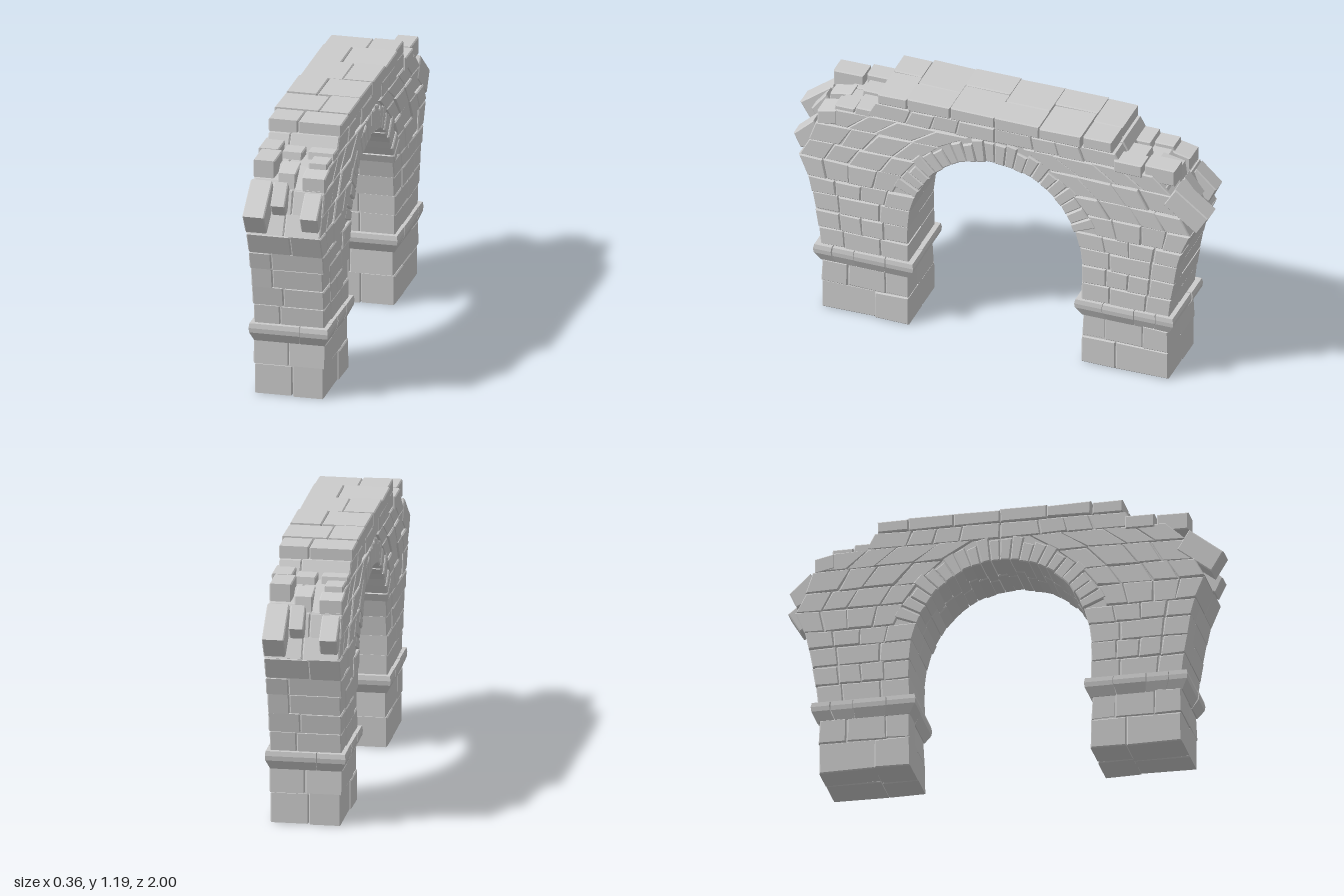
import * as THREE from 'three';

const material = new THREE.MeshStandardMaterial({ color: 0xcccccc, flatShading: true, side: THREE.DoubleSide });

// Repeatable random numbers for the uneven masonry
let seed = 11;
const rand = () => (seed = (seed * 16807) % 2147483647) / 2147483647;
const jitter = (a) => (rand() * 2 - 1) * a;
const lerp = THREE.MathUtils.lerp;

function add(group, name, geometry) {
  const mesh = new THREE.Mesh(geometry, material);
  mesh.name = name;
  group.add(mesh);
}

// Slab whose outline is given as [z, y] points, running from x0 to x1
function slab(points, x0, x1, bevel) {
  const shape = new THREE.Shape(points.map(([z, y]) => new THREE.Vector2(z, y)));
  const geometry = new THREE.ExtrudeGeometry(shape, {
    depth: x1 - x0 - 2 * bevel, bevelEnabled: bevel > 0, bevelSegments: 1,
    bevelThickness: bevel, bevelSize: bevel, bevelOffset: -bevel,
  });
  geometry.rotateY(-Math.PI / 2);
  return geometry.translate(x1 - bevel, 0, 0);
}

function stone(group, name, points, x0, x1, rough = 0.003) {
  const loose = points.map(([z, y]) => [z + jitter(rough), Math.max(0, y + jitter(rough))]);
  add(group, name, slab(loose, x0, x1, 0.005));
}

// Two stones side by side across the wall, with a wandering joint
function stonePair(group, name, points, half, split = jitter(0.07)) {
  stone(group, name, points, -half + jitter(0.005), split - 0.001);
  stone(group, name, points, split + 0.001, half + jitter(0.005));
}

// Opening: a half ellipse springing at y = 0.5
const SPRING = 0.5, A = 0.405, B = 0.45, RING = 0.11;
const arch = (t, grow = 0) => [(A + grow) * Math.cos(t), SPRING + (B + grow) * Math.sin(t)];
const archZ = (y, grow = 0) => {
  const s = Math.max(0, y - SPRING) / (B + grow);
  return (A + grow) * Math.sqrt(Math.max(0, 1 - s * s));
};

// Outer end of the wall, flaring outward with height
const END = [[0, 0.81], [0.33, 0.815], [0.5, 0.838], [0.6, 0.855], [0.69, 0.878], [0.79, 0.92], [0.87, 0.87], [0.97, 0.84], [1.2, 0.83]];
function endZ(y) {
  const i = Math.max(1, END.findIndex(([h]) => h >= y));
  const [h0, z0] = END[i - 1], [h1, z1] = END[i];
  return lerp(z0, z1, (y - h0) / (h1 - h0));
}

// A level course of n stones between two sloping ends
function course(group, y0, y1, n, half, [in0, in1], [out0, out1]) {
  const cuts = [0];
  for (let i = 1; i < n; i++) cuts.push((i + jitter(0.22)) / n);
  cuts.push(1);
  for (let i = 0; i < n; i++) {
    const a = cuts[i], b = cuts[i + 1];
    stonePair(group, 'courseStone', [
      [lerp(in0, out0, a) + 0.001, y0 + 0.001], [lerp(in0, out0, b) - 0.001, y0 + 0.001],
      [lerp(in1, out1, b) - 0.001, y1 - 0.001], [lerp(in1, out1, a) + 0.001, y1 - 0.001],
    ], half);
  }
}

function createHalf() {
  const half = new THREE.Group();

  // Rubble core, just behind the stone faces
  const core = [[0.415, 0.01], [0.80, 0.01], [0.805, 0.33], [0.828, 0.5], [0.845, 0.6], [0.868, 0.69],
    [0.9, 0.79], [0.86, 0.87], [0.82, 0.97], [0.8, 1.0], [0.56, 1.05], [0.54, 1.12], [0, 1.12]];
  for (let i = 12; i >= 0; i--) core.push(arch((i / 12) * Math.PI / 2, 0.01));
  add(half, 'rubbleCore', slab(core, -0.153, 0.153, 0));

  // Pier foot
  const foot = new THREE.Group();
  foot.name = 'pierFoot';
  course(foot, 0, 0.14, 2, 0.159, [0.405, 0.405], [0.812, 0.812]);
  course(foot, 0.14, 0.255, 3, 0.159, [0.405, 0.408], [0.812, 0.808]);
  half.add(foot);

  // Flared moulding round the pier
  const moulding = new THREE.Group();
  moulding.name = 'moulding';
  const xs = [-0.16, jitter(0.05), 0.16], zs = [-0.205, -0.09, 0.04, 0.13, 0.205];
  const flare = [0.0, 0.45, 0.9, 1, 0.85];
  for (let i = 0; i < 2; i++) for (let j = 0; j < 4; j++) {
    const w = xs[i + 1] - xs[i], d = zs[j + 1] - zs[j], grow = 0.9 + rand() * 0.2;
    const box = new THREE.BoxGeometry(w - 0.003, 0.085, d - 0.003, 1, 4, 1);
    box.translate((xs[i] + xs[i + 1]) / 2, 0, (zs[j] + zs[j + 1]) / 2);
    const p = box.attributes.position;
    for (let k = 0; k < p.count; k++) {
      const f = flare[Math.round((p.getY(k) / 0.085 + 0.5) * 4)] * grow;
      p.setXYZ(k, p.getX(k) * (1 + 0.13 * f), p.getY(k) + 0.291, p.getZ(k) * (1 + 0.14 * f) + 0.61);
    }
    box.computeVertexNormals();
    add(moulding, 'mouldingStone', box);
  }
  half.add(moulding);

  // Coursed pier up to the start of the arch ring
  const pier = new THREE.Group();
  pier.name = 'pier';
  [0.33, 0.42, 0.51, 0.6, 0.68].forEach((y0, i, ys) => {
    const y1 = ys[i + 1];
    if (y1) course(pier, y0, y1, 3 + (i % 2), 0.162 + i * 0.001, [archZ(y0), archZ(y1)], [endZ(y0), endZ(y1)]);
  });
  half.add(pier);

  // Wedge stones round the opening
  const ring = new THREE.Group();
  ring.name = 'archRing';
  const start = 0.4, count = 11;
  for (let i = 0; i < count; i++) {
    const t0 = lerp(start, Math.PI / 2, i / count) + 0.003;
    const t1 = lerp(start, Math.PI / 2, (i + 1) / count) - 0.003;
    const depth = RING - (i % 3) * 0.012, inset = jitter(0.004);
    stonePair(ring, 'archStone', [arch(t0, inset), arch(t0, depth), arch(t1, depth), arch(t1, inset)], 0.166, jitter(0.05));
  }
  half.add(ring);

  // Wall between the ring and the top
  const wall = new THREE.Group();
  wall.name = 'spandrel';
  [0.68, 0.78, 0.87, 0.97, 1.055].forEach((y0, i, ys) => {
    const y1 = ys[i + 1];
    if (!y1) return;
    const in0 = archZ(y0, RING - 0.012), in1 = Math.max(archZ(y1, RING - 0.012), in0 - 0.13);
    const out = i === 3 ? [0.83, 0.74] : [endZ(y0), endZ(y1)];
    course(wall, y0, y1, 4, 0.167, [in0, in1], out);
  });
  course(wall, 1.055, 1.13, 4, 0.163, [0, 0], [0.6, 0.56]);
  half.add(wall);

  // Walkway slabs along the top
  const top = new THREE.Group();
  top.name = 'topSlabs';
  const joints = [0, 0.21, 0.41, 0.55];
  for (let i = 0; i < 3; i++) {
    const a = joints[i] + 0.002, b = joints[i + 1] - 0.002, y = 1.19 - i * 0.003;
    stonePair(top, 'topSlab', [[a, 1.13], [b, 1.13], [b, y], [a, y]], 0.168, i % 2 ? 0.03 : -0.03);
  }
  half.add(top);

  // Broken end: loose, tilted and stepped stones
  const broken = new THREE.Group();
  broken.name = 'brokenEnd';
  const loose = [
    [[[0.945, 0.80], [1.0, 0.89], [0.845, 1.01], [0.79, 0.92]], -0.166, -0.068],
    [[[0.89, 0.87], [0.92, 0.92], [0.85, 1.01], [0.79, 0.91]], -0.06, 0.005],
    [[[0.91, 0.81], [0.945, 0.88], [0.85, 0.97], [0.80, 0.87]], 0.078, 0.158],
    [[[0.70, 1.02], [0.84, 1.02], [0.84, 1.1], [0.70, 1.1]], -0.157, -0.06],
    [[[0.56, 1.04], [0.69, 1.04], [0.69, 1.1], [0.56, 1.1]], -0.172, -0.08],
    [[[0.58, 1.03], [0.68, 1.03], [0.67, 1.085], [0.58, 1.085]], -0.07, 0.02],
    [[[0.57, 1.04], [0.66, 1.04], [0.65, 1.085], [0.57, 1.085]], 0.04, 0.16],
    [[[0.66, 1.0], [0.76, 1.0], [0.75, 1.072], [0.66, 1.072]], 0.07, 0.155],
    [[[0.74, 0.98], [0.83, 0.96], [0.83, 1.03], [0.74, 1.05]], 0.06, 0.165],
    [[[0.72, 0.98], [0.83, 0.97], [0.82, 1.04], [0.72, 1.06]], -0.05, 0.03],
  ];
  for (const [points, x0, x1] of loose) stone(broken, 'brokenStone', points, x0, x1, 0.001);
  half.add(broken);
  return half;
}

export function createModel() {
  const model = new THREE.Group();
  model.name = 'stoneArch';
  // The second half is the first turned half way round
  const frontHalf = createHalf();
  frontHalf.name = 'frontHalf';
  const backHalf = frontHalf.clone();
  backHalf.name = 'backHalf';
  backHalf.rotation.y = Math.PI;
  model.add(frontHalf, backHalf);
  return model;
}
